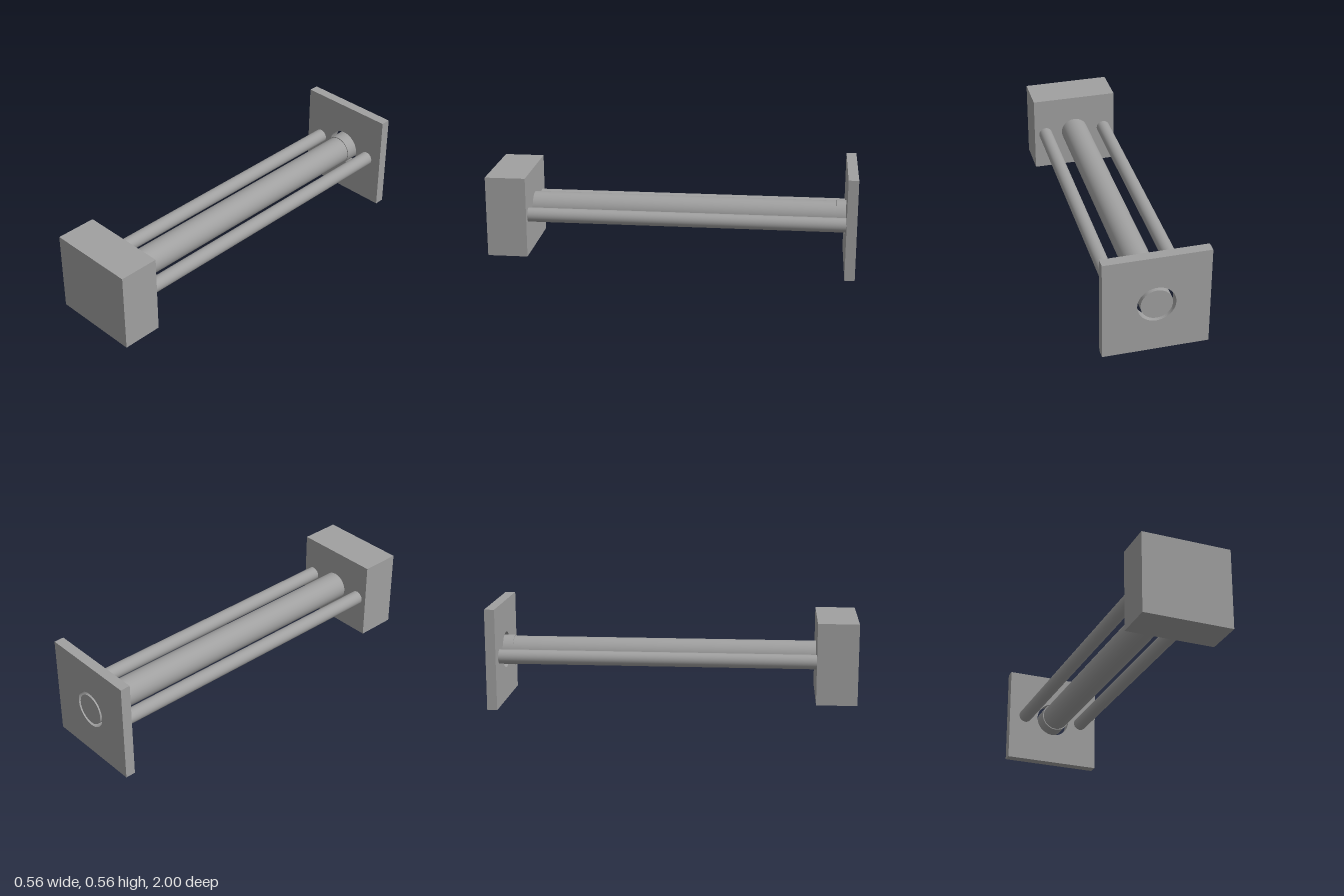
import * as THREE from 'three';

const AXIS_Y = 0.278; // height of the common centre line

export function createModel() {
  const model = new THREE.Group();
  const grey = new THREE.MeshStandardMaterial({ color: 0xa0a0a0 });
  grey.name = 'grey';

  const add = (name, geometry, x, y, z) => {
    const mesh = new THREE.Mesh(geometry, grey);
    mesh.name = name;
    mesh.position.set(x, y, z);
    model.add(mesh);
  };

  // Round bar along z between two depths
  const bar = (name, radius, x, z0, z1) => {
    const geometry = new THREE.CylinderGeometry(radius, radius, z1 - z0, 64);
    geometry.rotateX(Math.PI / 2);
    add(name, geometry, x, AXIS_Y, (z0 + z1) / 2);
  };

  // Solid front block
  add('frontBlock', new THREE.BoxGeometry(0.488, 0.444, 0.22), 0, AXIS_Y, 0.89);

  // Square back plate with a clearance hole
  const half = 0.278;
  const outline = new THREE.Shape([
    new THREE.Vector2(-half, -half), new THREE.Vector2(half, -half),
    new THREE.Vector2(half, half), new THREE.Vector2(-half, half),
  ]);
  const hole = new THREE.Path();
  hole.absarc(0, 0, 0.1, 0, Math.PI * 2, true);
  outline.holes.push(hole);
  add('backPlate', new THREE.ExtrudeGeometry(outline, {
    depth: 0.055, bevelEnabled: false, curveSegments: 32,
  }), 0, AXIS_Y, -1);

  // Central shaft and the wider collar passing through the hole
  bar('mainShaft', 0.078, 0, -0.9, 0.78);
  bar('collar', 0.083, 0, -1, -0.892);

  // Guide rods on both sides
  for (const side of [-1, 1]) {
    bar(side > 0 ? 'leftGuideRod' : 'rightGuideRod', 0.039, side * 0.178, -0.945, 0.78);
  }

  return model;
}
